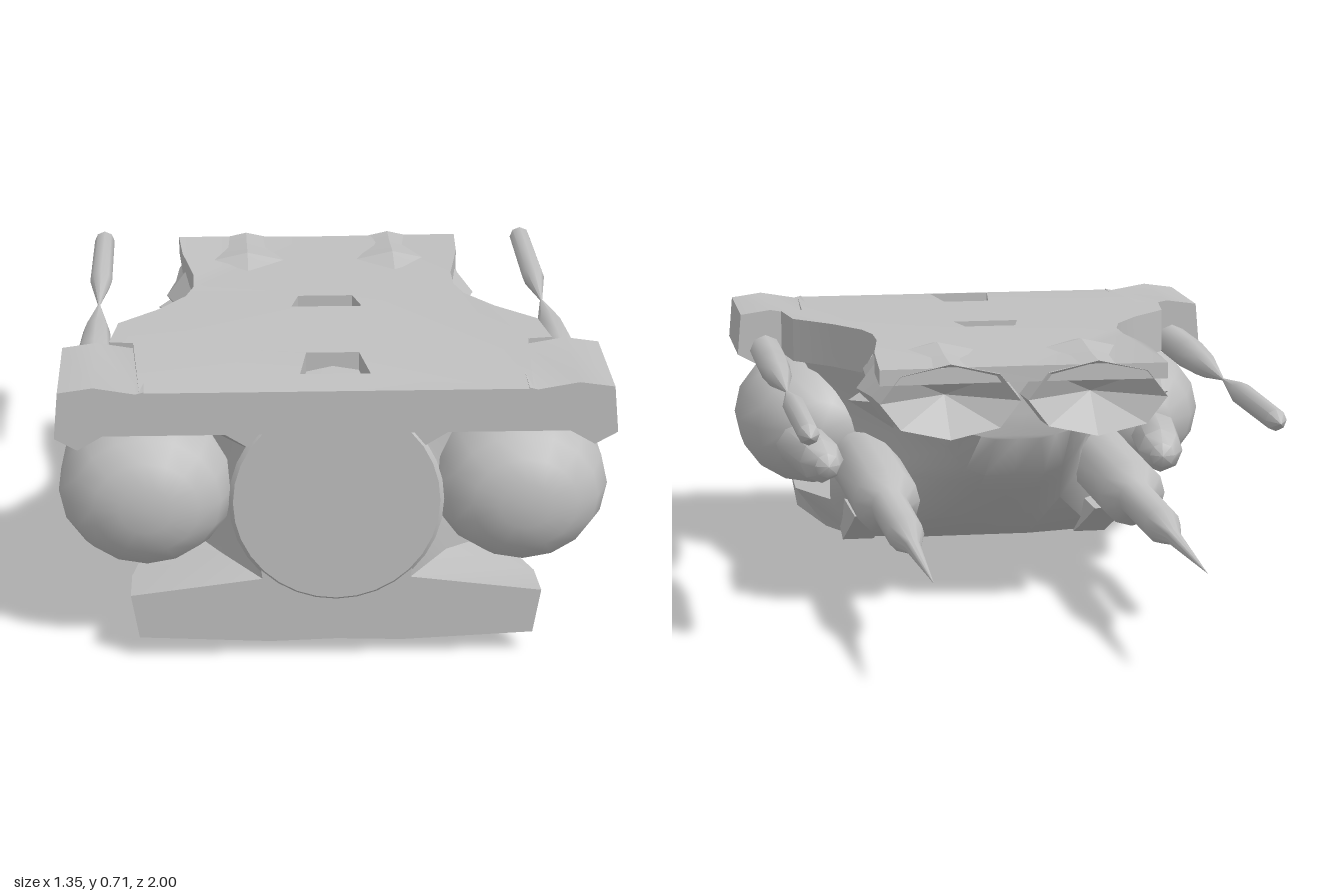
import * as THREE from 'three';
import { toCreasedNormals } from 'three/addons/utils/BufferGeometryUtils.js';

const V2 = (p) => new THREE.Vector2(p[0], p[1]);

export function createModel() {
  const ship = new THREE.Group();
  ship.name = 'spacecraft';
  const grey = new THREE.MeshStandardMaterial({ color: 0xc0c0c0 });
  grey.name = 'hull grey';

  function add(name, geometry, crease = 0.6) {
    const mesh = new THREE.Mesh(toCreasedNormals(geometry, crease), grey);
    mesh.name = name;
    ship.add(mesh);
    return mesh;
  }

  // Turned part along z; profile rows are [radius, z], rear to front
  function turned(profile, sides, sx = 1, sy = 1) {
    const g = new THREE.LatheGeometry(profile.map(V2), sides);
    return g.rotateX(Math.PI / 2).scale(sx, sy, 1);
  }

  // Mirrored half sections [x, y] from keel to roof, joined front to back
  function loft(sections) {
    const pos = [], index = [];
    const rings = sections.map(({ z, half }) => {
      const left = half.slice(1, -1).reverse().map(([x, y]) => [-x, y]);
      const ring = [...half, ...left];
      ring.forEach(([x, y]) => pos.push(x, y, z));
      return ring;
    });
    const n = rings[0].length;
    for (let s = 0; s < rings.length - 1; s++) {
      for (let i = 0; i < n; i++) {
        const a = s * n + i, b = s * n + (i + 1) % n;
        index.push(a, a + n, b, b, a + n, b + n);
      }
    }
    const cap = (r) => THREE.ShapeUtils.triangulateShape(rings[r].map(V2), []);
    const end = (rings.length - 1) * n;
    cap(0).forEach(([a, b, c]) => index.push(a, b, c));
    cap(rings.length - 1).forEach(([a, b, c]) => index.push(end + a, end + c, end + b));
    const g = new THREE.BufferGeometry();
    g.setAttribute('position', new THREE.Float32BufferAttribute(pos, 3));
    g.setIndex(index);
    return g;
  }

  // Main hull: hourglass nose with wide chin, tapering up to the rear
  add('hull', loft([
    { z: 0.995, half: [[0, 0.04], [0.16, 0.035], [0.48, 0.05], [0.5, 0.16], [0.18, 0.2], [0.2, 0.36], [0.18, 0.52], [0.27, 0.575], [0, 0.66]] },
    { z: 0.82, half: [[0, 0], [0.16, 0.025], [0.41, 0.022], [0.5, 0.14], [0.28, 0.2], [0.27, 0.36], [0.26, 0.53], [0.4, 0.575], [0, 0.66]] },
    { z: 0.6, half: [[0, 0.03], [0.16, 0.03], [0.35, 0.04], [0.42, 0.15], [0.42, 0.22], [0.42, 0.36], [0.46, 0.5], [0.5, 0.575], [0, 0.66]] },
    { z: 0.3, half: [[0, 0.15], [0.12, 0.16], [0.2, 0.2], [0.25, 0.27], [0.26, 0.32], [0.27, 0.4], [0.3, 0.48], [0.34, 0.575], [0, 0.66]] },
    { z: 0, half: [[0, 0.28], [0.08, 0.29], [0.15, 0.32], [0.18, 0.36], [0.2, 0.4], [0.22, 0.45], [0.25, 0.5], [0.27, 0.575], [0, 0.66]] },
    { z: -0.13, half: [[0, 0.36], [0.08, 0.36], [0.13, 0.38], [0.16, 0.41], [0.18, 0.44], [0.2, 0.47], [0.2, 0.5], [0.2, 0.575], [0, 0.66]] },
    { z: -0.2, half: [[0, 0.47], [0.06, 0.47], [0.1, 0.48], [0.14, 0.49], [0.16, 0.5], [0.17, 0.52], [0.17, 0.54], [0.17, 0.575], [0, 0.66]] },
  ]));

  // Round plate on the nose
  add('noseDisc', new THREE.CylinderGeometry(0.25, 0.26, 0.01, 32)
    .rotateX(Math.PI / 2).translate(0, 0.4, 0.995));

  // Upper deck, cut in plan, with two vents
  const edge = [[0.47, 1], [0.49, 0.66], [0.55, 0.65], [0.53, 0.5], [0.43, 0.39],
    [0.36, 0.28], [0.34, 0.2], [0.34, 0.1], [0.37, -0.1], [0.38, -0.3]];
  const plan = new THREE.Shape([...edge, [0, -0.29],
    ...edge.slice().reverse().map(([x, z]) => [-x, z])].map(V2));
  for (const [w, back, front] of [[0.085, 0.75, 0.91], [0.09, 0.29, 0.38]]) {
    plan.holes.push(new THREE.Path(
      [[-w + 0.02, back], [w - 0.02, back], [w, front], [-w, front]].map(V2)));
  }
  const deck = new THREE.ExtrudeGeometry(plan, { depth: 0.12, bevelEnabled: false });
  deck.rotateX(Math.PI / 2).translate(0, 0.695, 0);
  const p = deck.attributes.position;
  for (let i = 0; i < p.count; i++) {
    const z = p.getZ(i), top = p.getY(i) > 0.65;
    if (!top && z < 0.25) p.setY(i, 0.64);
    if (top && (z > 0.95 || z < -0.25)) p.setY(i, 0.682);
  }
  deck.computeVertexNormals();
  add('upperDeck', deck);

  for (const s of [1, -1]) {
    const side = s > 0 ? 'left' : 'right';

    // Thick deck corner blocks
    const block = new THREE.Shape([[0.46, 0.575], [0.56, 0.575], [0.62, 0.54], [0.675, 0.57],
      [0.665, 0.685], [0.58, 0.697], [0.48, 0.68], [0.46, 0.685]].map(([x, y]) => V2([s * x, y])));
    add(side + 'DeckCorner', new THREE.ExtrudeGeometry(block, { depth: 0.34, bevelEnabled: false })
      .translate(0, 0, 0.66));

    // Bulbous engines in the cheeks
    add(side + 'Engine', turned([[0, 0.46], [0.45, 0.48], [0.8, 0.56], [1, 0.68], [1, 0.83],
      [0.85, 0.92], [0.6, 0.965], [0.3, 0.985], [0, 0.99]], 16, 0.215, 0.19), 0.9)
      .position.set(s * 0.46, 0.375, 0);

    // Angled pods behind the engines
    const pod = add(side + 'Pod', turned([[0, -0.22], [0.035, -0.2], [0.062, -0.13],
      [0.068, 0.1], [0.068, 0.22], [0, 0.22]], 8), 0.8);
    pod.position.set(s * 0.495, 0.335, 0.38);
    pod.rotation.y = s * 0.13;

    // Heavy lower guns with needle tips
    add(side + 'LowerGun', turned([[0, -1], [0.02, -0.6], [0.048, -0.46], [0.05, -0.13],
      [0.09, -0.06], [0.092, 0.4], [0.1, 0.65], [0, 0.65]], 12), 0.8)
      .position.set(s * 0.335, 0.282, 0);

    // Slim upper guns, pinched in the middle
    add(side + 'UpperGun', turned([[0, -0.665], [0.028, -0.61], [0.03, -0.22], [0.003, -0.01],
      [0.035, 0.22], [0.045, 0.4], [0.045, 0.7], [0, 0.7]], 8), 0.8)
      .position.set(s * 0.595, 0.58, 0);

    // Faceted rear lobes with hollow ends
    add(side + 'RearLobe', turned([[0, -0.18], [1, -0.3], [1.05, -0.18], [1.18, -0.05],
      [0.95, 0.08], [0.9, 0.25], [0, 0.32]], 8, 0.185, 0.1), 0.2)
      .position.set(s * 0.195, 0.592, 0);

    // Pointed cheek fin on each lobe
    const fin = add(side + 'LobeFin', new THREE.ConeGeometry(0.08, 0.12, 4), 0.2);
    fin.position.set(s * 0.375, 0.56, -0.05);
    fin.rotation.z = -s * Math.PI / 2;

    // Curved blades under the belly
    const blade = new THREE.Shape();
    blade.moveTo(-0.75, 0.16);
    blade.lineTo(-0.72, 0.07);
    blade.lineTo(-0.6, 0.03);
    blade.quadraticCurveTo(-0.4, 0.11, -0.27, 0.17);
    blade.quadraticCurveTo(-0.5, 0.16, -0.75, 0.16);
    add(side + 'BellyBlade', new THREE.ExtrudeGeometry(blade, { depth: 0.09, bevelEnabled: false, curveSegments: 5 })
      .rotateY(Math.PI / 2).translate(s * 0.34 - 0.045, 0, 0));
  }
  return ship;
}
